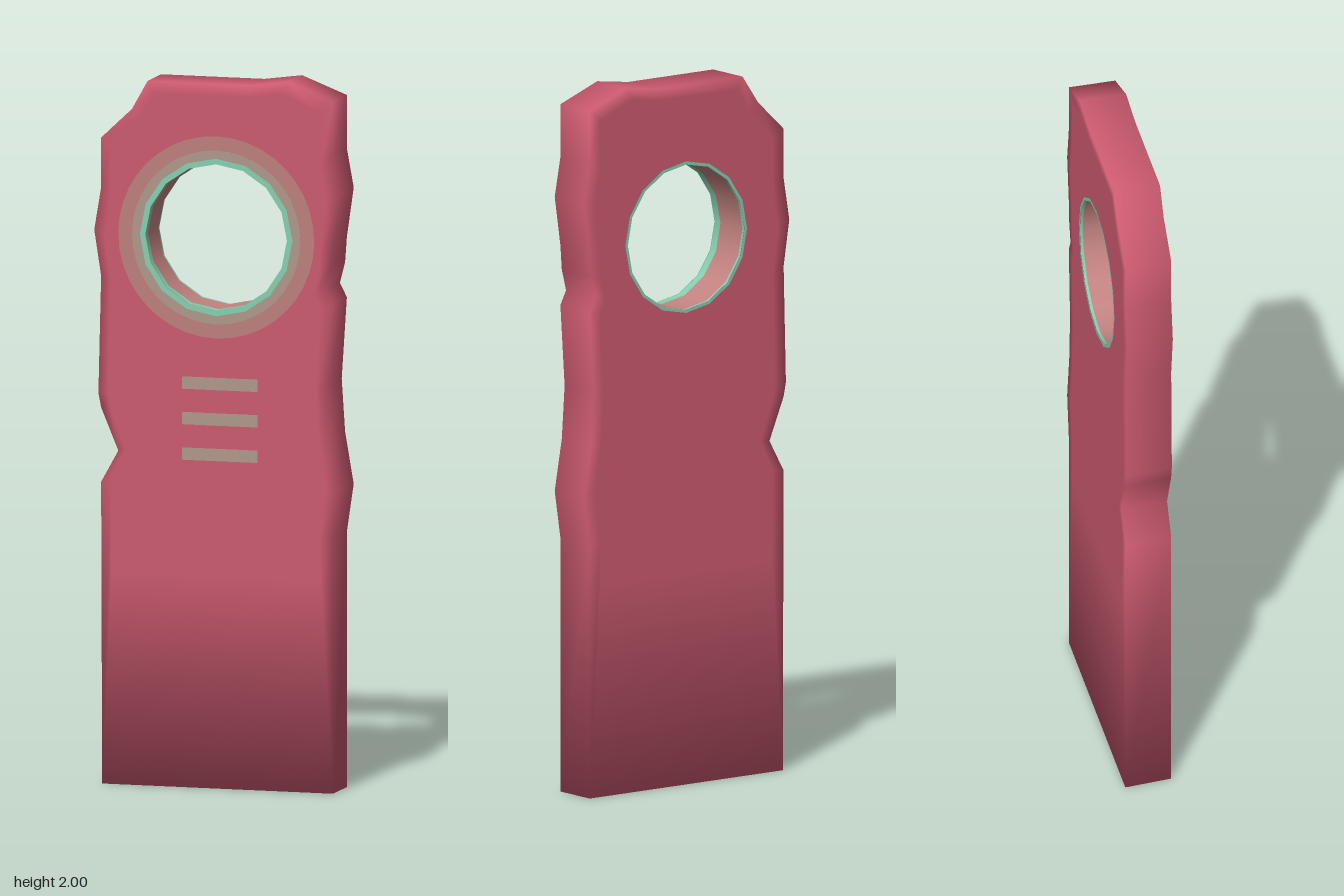
import * as THREE from 'three';

const FRONT = 0.065, BACK = -0.068;
const HOLE = { y: 1.553, r: 0.206, sides: 16 };

// Worn silhouette, counter-clockwise from the bottom right corner
const OUTLINE = [
  [0.34, 0], [0.34, 0.72], [0.36, 0.855], [0.335, 1.0], [0.325, 1.15], [0.34, 1.38],
  [0.32, 1.42], [0.335, 1.48], [0.34, 1.55], [0.36, 1.69], [0.34, 1.8], [0.34, 1.95],
  [0.21, 2.0], [0.1, 1.985], [-0.2, 1.985], [-0.255, 1.905], [-0.345, 1.82],
  [-0.345, 1.68], [-0.365, 1.56], [-0.345, 1.43], [-0.353, 1.1], [-0.345, 1.06],
  [-0.295, 0.94], [-0.345, 0.85], [-0.342, 0],
].map(([x, y]) => new THREE.Vector2(x, y));

// Flat inner region; the surface rounds off softly outside it
const INNER = OUTLINE.map(({ x, y }) =>
  new THREE.Vector2(x * 0.89, y === 0 ? 0.6 : (y - 1) * 0.965 + 1));

// Rounded-looking rim: inner front, outer front, outer back, inner back
function rimGeometry() {
  const n = OUTLINE.length, pos = [], nor = [], idx = [];
  const outward = OUTLINE.map((p, i) => {
    const a = OUTLINE[(i + n - 1) % n], b = OUTLINE[(i + 1) % n];
    const e1 = p.clone().sub(a).normalize(), e2 = b.clone().sub(p).normalize();
    const d = e1.add(e2);
    return new THREE.Vector2(d.y, -d.x).normalize();
  });
  const loops = [[INNER, FRONT, 1], [OUTLINE, FRONT, 1], [OUTLINE, BACK, -1], [INNER, BACK, -1]];
  loops.forEach(([points, z, dir]) => points.forEach((p, i) => {
    const outer = points === OUTLINE;
    // the front is slightly narrower on one side
    const shift = outer && dir > 0 && p.x < -0.25 ? 0.01 : 0;
    pos.push(p.x + shift, p.y, z);
    const v = outer
      ? new THREE.Vector3(outward[i].x, outward[i].y, dir * 0.5).normalize()
      : new THREE.Vector3(0, 0, dir);
    nor.push(v.x, v.y, v.z);
  }));
  for (let k = 0; k < 3; k++) {
    for (let i = 0; i < n; i++) {
      const j = (i + 1) % n;
      const a = k * n + i, b = a + n, c = (k + 1) * n + j, d = k * n + j;
      idx.push(a, b, c, a, c, d);
    }
  }
  const g = new THREE.BufferGeometry();
  g.setAttribute('position', new THREE.Float32BufferAttribute(pos, 3));
  g.setAttribute('normal', new THREE.Float32BufferAttribute(nor, 3));
  g.setIndex(idx);
  return g;
}

// Flat face with the round hole; mirror = -1 prepares it for turning to the back
function faceGeometry(mirror) {
  const shape = new THREE.Shape(INNER.map((p) => new THREE.Vector2(p.x * mirror, p.y)));
  const hole = [];
  for (let i = 0; i < HOLE.sides; i++) {
    const t = (i / HOLE.sides) * Math.PI * 2;
    hole.push(new THREE.Vector2(Math.cos(t) * HOLE.r, HOLE.y + Math.sin(t) * HOLE.r));
  }
  shape.holes.push(new THREE.Path(hole));
  return new THREE.ShapeGeometry(shape);
}

export function createModel() {
  const group = new THREE.Group();
  const material = (name, color, side = THREE.FrontSide) => {
    const m = new THREE.MeshStandardMaterial({ color, side });
    m.name = name;
    return m;
  };
  const red = material('rose red', 0xcc5a70);
  const mint = material('mint', 0x84d0b0, THREE.DoubleSide);
  const sage = material('faded sage', 0xb0988c, THREE.DoubleSide);
  const tan = material('faded tan', 0xbd807c, THREE.DoubleSide);
  const lining = material('dusty pink', 0xc48482, THREE.DoubleSide);
  const add = (name, geometry, mat, x = 0, y = 0, z = 0) => {
    const mesh = new THREE.Mesh(geometry, mat);
    mesh.name = name;
    mesh.position.set(x, y, z);
    group.add(mesh);
    return mesh;
  };

  // Slab body
  add('bodyRim', rimGeometry(), red);
  add('frontFace', faceGeometry(1), red, 0, 0, FRONT);
  add('backFace', faceGeometry(-1), red, 0, 0, BACK).rotation.y = Math.PI;

  // Hole lining, with mint bands at both mouths
  const band = (name, z0, z1, mat) => add(name,
    new THREE.CylinderGeometry(HOLE.r, HOLE.r, z1 - z0, HOLE.sides, 1, true).rotateX(Math.PI / 2),
    mat, 0, HOLE.y, (z0 + z1) / 2);
  band('holeLining', BACK + 0.008, FRONT - 0.025, lining);
  band('frontHoleBand', FRONT - 0.025, FRONT, mint);
  band('backHoleBand', BACK, BACK + 0.008, mint);

  // Faded painted rings around the hole
  const ring = (name, inner, outer, sides, mat, z) =>
    add(name, new THREE.RingGeometry(inner, outer, sides), mat, 0, HOLE.y, z);
  ring('outerPaintRing', 0.245, 0.285, 40, tan, FRONT + 0.001);
  ring('middlePaintRing', 0.215, 0.245, 40, sage, FRONT + 0.0015);
  ring('innerPaintRing', HOLE.r, 0.222, HOLE.sides, mint, FRONT + 0.002);
  ring('backPaintRing', HOLE.r, 0.215, HOLE.sides, mint, BACK - 0.001).rotation.y = Math.PI;

  // Plain worn paint stripes below the hole
  [1.14, 1.04, 0.94].forEach((y) =>
    add('wornStripe', new THREE.PlaneGeometry(0.22, 0.035), sage, 0.01, y, FRONT + 0.001));

  return group;
}
